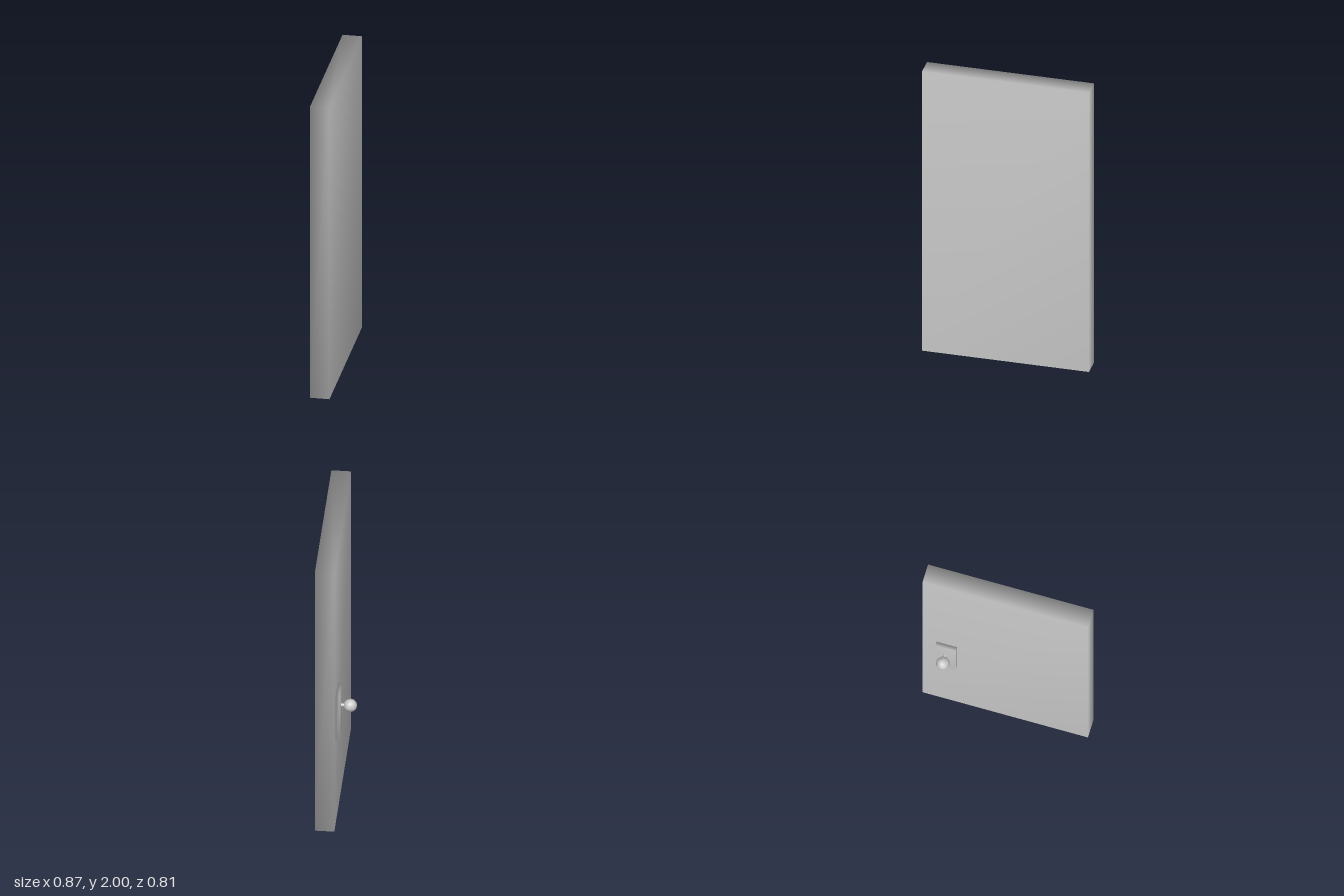
import * as THREE from 'three';
import { mergeVertices } from 'three/addons/utils/BufferGeometryUtils.js';

const material = new THREE.MeshStandardMaterial({ color: 0xcccccc });

// Box whose corners share one normal, so shading runs smoothly over its edges
function smoothBox(width, height, depth) {
  const box = new THREE.BoxGeometry(width, height, depth);
  box.deleteAttribute('normal');
  box.deleteAttribute('uv');
  const smooth = mergeVertices(box);
  smooth.computeVertexNormals();
  return smooth;
}

function addPart(parent, name, geometry, x, y, z) {
  const mesh = new THREE.Mesh(geometry, material);
  mesh.name = name;
  mesh.position.set(x, y, z);
  parent.add(mesh);
  return mesh;
}

export function createModel() {
  const model = new THREE.Group();
  model.name = 'door';

  // The whole door stands swung open about the vertical axis
  const leaf = new THREE.Group();
  leaf.name = 'doorLeaf';
  leaf.rotation.y = THREE.MathUtils.degToRad(42.3);
  model.add(leaf);

  // Door panel
  const thickness = 0.122;
  const back = -thickness / 2;
  addPart(leaf, 'panel', smoothBox(1.072, 2, thickness), 0, 1, 0);

  // Handle on the back face only
  const handle = new THREE.Group();
  handle.name = 'handle';
  handle.position.set(0.379, 0.82, back);
  leaf.add(handle);

  // Backing plate
  addPart(handle, 'backPlate', smoothBox(0.133, 0.34, 0.027), 0, 0, -0.0135);

  // Stem, slightly above the middle of the plate
  const knobY = 0.05;
  const stem = new THREE.CylinderGeometry(0.011, 0.011, 0.05, 8).rotateX(Math.PI / 2);
  addPart(handle, 'stem', stem, 0, knobY, -0.045);

  // Low-sided round knob with its pole along the stem
  const knob = new THREE.SphereGeometry(0.043, 8, 6).rotateX(Math.PI / 2);
  addPart(handle, 'knob', knob, 0, knobY, -0.085);

  return model;
}
